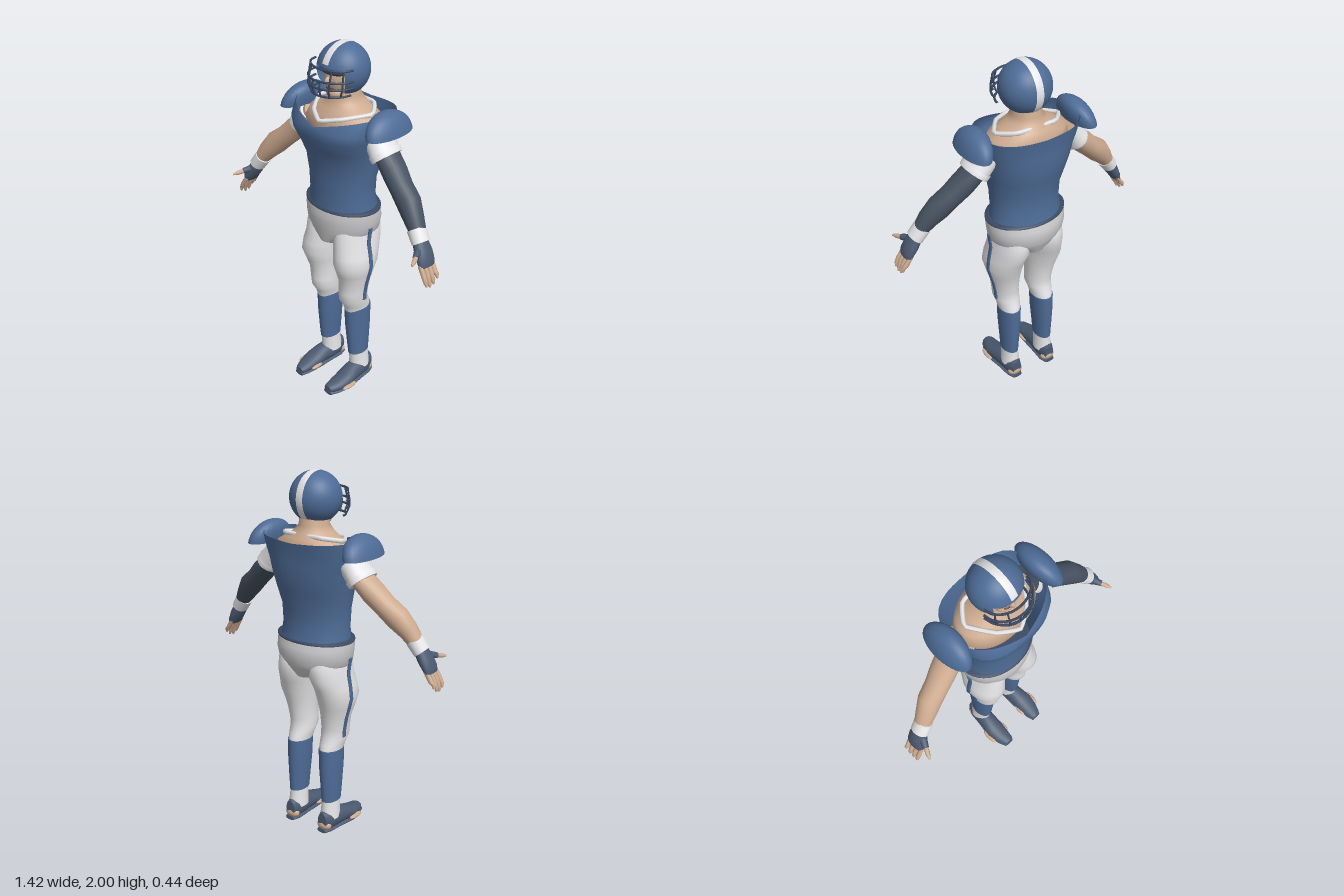
import * as THREE from 'three';

const mat = (name, color, double = false) => {
  const m = new THREE.MeshStandardMaterial({ color });
  m.name = name;
  if (double) m.side = THREE.DoubleSide;
  return m;
};
const V = (p) => new THREE.Vector3(p[0], p[1], p[2]);
const rad = THREE.MathUtils.degToRad;

// Skin elliptical rings [x, y, z, a, b]; b lies along hint, a across it
function loft(rings, { seg = 24, hint = [0, 0, 1], dir = null, caps = true } = {}) {
  const pos = [], idx = [];
  const frames = rings.map((r, i) => {
    const d = dir ? V(dir) : V(rings[Math.min(i + 1, rings.length - 1)]).sub(V(rings[Math.max(i - 1, 0)]));
    d.normalize();
    const v = V(hint).addScaledVector(d, -V(hint).dot(d)).normalize();
    return { c: V(r), u: v.clone().cross(d), v, a: r[3], b: r[4] };
  });
  const ring = ({ c, u, v, a, b }) => {
    const start = pos.length / 3;
    for (let j = 0; j < seg; j++) {
      const t = (j / seg) * Math.PI * 2;
      const p = c.clone().addScaledVector(u, a * Math.cos(t)).addScaledVector(v, b * Math.sin(t));
      pos.push(p.x, p.y, p.z);
    }
    return start;
  };
  const starts = frames.map(ring);
  for (let i = 0; i < starts.length - 1; i++) {
    for (let j = 0; j < seg; j++) {
      const k = (j + 1) % seg, s = starts[i], e = starts[i + 1];
      idx.push(s + j, s + k, e + k, s + j, e + k, e + j);
    }
  }
  if (caps) {
    [[frames[0], true], [frames[frames.length - 1], false]].forEach(([f, first]) => {
      const s = ring(f), m = pos.length / 3;
      pos.push(f.c.x, f.c.y, f.c.z);
      for (let j = 0; j < seg; j++) {
        const k = (j + 1) % seg;
        idx.push(m, s + (first ? k : j), s + (first ? j : k));
      }
    });
  }
  const g = new THREE.BufferGeometry();
  g.setAttribute('position', new THREE.Float32BufferAttribute(pos, 3));
  g.setIndex(idx);
  g.computeVertexNormals();
  return g;
}

export function createModel() {
  const root = new THREE.Group();
  root.name = 'footballPlayer';
  const blue = mat('team blue', 0x4e6c97, true);
  const slate = mat('glove and shoe slate', 0x4c5b72);
  const sleeve = mat('sleeve slate', 0x475261);
  const bar = mat('mask dark blue', 0x3a4962);
  const white = mat('white', 0xe8e8ea);
  const grey = mat('waist grey', 0xcbcbcd);
  const skin = mat('skin', 0xceab90);
  const dark = mat('dark features', 0x5a3c34);

  const add = (name, geo, m, parent = root) => {
    const mesh = new THREE.Mesh(geo, m);
    mesh.name = name;
    parent.add(mesh);
  };
  const ball = (x, y, z, a, b, c) => new THREE.SphereGeometry(1, 24, 16).scale(a, b, c).translate(x, y, z);
  const rod = (pts, r, closed = false) =>
    new THREE.TubeGeometry(new THREE.CatmullRomCurve3(pts.map(V), closed, 'catmullrom', closed ? 0.15 : 0.5), pts.length * 6, r, 6, closed);

  // Jersey: open at the top with a dipped neckline, squarer toward the shoulders
  const up = { dir: [0, 1, 0], seg: 40 };
  const jersey = loft([
    [0, 1.13, -0.02, 0.2, 0.158], [0, 1.2, -0.015, 0.192, 0.15], [0, 1.3, -0.015, 0.198, 0.152],
    [0, 1.4, -0.025, 0.218, 0.166], [0, 1.48, -0.018, 0.234, 0.188], [0, 1.55, -0.005, 0.25, 0.204],
    [0, 1.6, -0.008, 0.268, 0.204], [0, 1.67, -0.035, 0.272, 0.188],
  ], { ...up, caps: false });
  const jp = jersey.attributes.position;
  for (let i = 0; i < jp.count; i++) {
    const t = ((i % up.seg) / up.seg) * Math.PI * 2;
    const square = 1 + 0.09 * THREE.MathUtils.smoothstep(jp.getY(i), 1.3, 1.6) * Math.sin(2 * t) ** 2;
    jp.setX(i, jp.getX(i) * square);
    jp.setZ(i, jp.getZ(i) * square);
    if (jp.getY(i) > 1.66) {
      const dip = Math.max(0, 1 - Math.abs(jp.getX(i)) / 0.25);
      jp.setY(i, 1.676 - dip * (jp.getZ(i) > 0 ? 0.066 : 0.015));
      if (jp.getZ(i) > 0) jp.setZ(i, jp.getZ(i) + dip * 0.035);
    }
  }
  jersey.computeVertexNormals();
  add('jersey', jersey, blue);
  add('jerseyHem', loft([[0, 1.125, -0.02, 0.226, 0.166], [0, 1.135, -0.02, 0.226, 0.166], [0, 1.138, -0.02, 0.2, 0.156]], up), bar);

  // Pants waist with a squared lower front
  add('pantsWaist', loft([
    [0, 0.928, -0.012, 0.085, 0.143], [0, 0.955, -0.015, 0.135, 0.152], [0, 0.985, -0.02, 0.19, 0.16],
    [0, 1.01, -0.023, 0.212, 0.168], [0, 1.06, -0.025, 0.22, 0.176], [0, 1.095, -0.022, 0.223, 0.172],
    [0, 1.127, -0.02, 0.222, 0.163],
  ], up), grey);

  // Shoulders, neck and head
  add('shouldersAndNeck', loft([
    [0, 1.48, -0.02, 0.2, 0.13], [0, 1.58, -0.025, 0.235, 0.155], [0, 1.635, -0.035, 0.21, 0.145],
    [0, 1.67, -0.04, 0.145, 0.118], [0, 1.7, -0.037, 0.1, 0.1], [0, 1.73, -0.035, 0.076, 0.085],
    [0, 1.82, -0.03, 0.072, 0.08],
  ], up), skin);
  add('head', ball(0, 1.835, -0.015, 0.086, 0.118, 0.1), skin);
  add('chin', ball(0, 1.752, 0.035, 0.05, 0.035, 0.045), skin);
  add('nose', ball(0, 1.82, 0.085, 0.014, 0.025, 0.022), skin);
  add('mouth', ball(0, 1.778, 0.068, 0.03, 0.009, 0.014), dark);
  add('browPad', ball(0, 1.872, 0.045, 0.088, 0.025, 0.055), bar);
  add('collar', rod([
    [0, 1.63, 0.15], [0.1, 1.648, 0.09], [0.187, 1.665, -0.035], [0.11, 1.685, -0.125],
    [-0.11, 1.685, -0.125], [-0.187, 1.665, -0.035], [-0.1, 1.648, 0.09],
  ], 0.012, true), white);

  // Helmet: full crown, lower shell open at the face, centre stripe
  const helmet = new THREE.Group();
  helmet.name = 'helmet';
  helmet.position.set(0, 1.864, -0.022);
  root.add(helmet);
  const R = 0.135;
  add('helmetCrown', new THREE.SphereGeometry(R, 40, 14, 0, Math.PI * 2, 0, rad(77)), blue, helmet);
  add('helmetShell', new THREE.SphereGeometry(R, 32, 14, rad(138), rad(264), rad(77), rad(64)), blue, helmet);
  add('helmetStripe', new THREE.SphereGeometry(R * 1.012, 32, 4, rad(-138), rad(208), rad(81.5), rad(17)).rotateZ(-Math.PI / 2), white, helmet);

  // Face mask
  const mask = new THREE.Group();
  mask.name = 'faceMask';
  root.add(mask);
  const arcPoint = (t, y, w, d) => [w * Math.sin(t), y, 0.04 + d * Math.cos(t)];
  const rows = [[1.9, 0.132, 0.105], [1.845, 0.136, 0.125], [1.81, 0.134, 0.13], [1.768, 0.115, 0.118]];
  for (const [y, w, d] of rows) {
    const pts = [];
    for (let i = -4; i <= 4; i++) pts.push(arcPoint(i * rad(22), y, w, d));
    add('maskBar', rod(pts, 0.006), bar, mask);
  }
  for (const t of [-60, -32, -10, 10, 32, 60]) {
    const list = Math.abs(t) === 10 ? rows.slice(1) : rows;
    add('maskUpright', rod(list.map(([y, w, d]) => arcPoint(rad(t), y, w, d)), 0.005), bar, mask);
  }

  for (const s of [1, -1]) {
    const side = s > 0 ? 'left' : 'right';
    const part = (name, rings, m, opt) => add(side + name, loft(rings.map(([x, ...r]) => [x * s, ...r]), opt), m);

    // Shoulder pad: full half dome leaning toward the neck
    const pad = new THREE.SphereGeometry(1, 28, 10, 0, Math.PI * 2, 0, Math.PI / 2).scale(0.068, 0.112, 0.152);
    const pp = pad.attributes.position;
    for (let i = 0; i < pp.count; i++) {
      const h = pp.getY(i) / 0.112;
      pp.setX(i, pp.getX(i) * (1 + 0.25 * h * h) - s * 0.027 * h);
    }
    pad.computeVertexNormals();
    add(side + 'ShoulderPad', pad.translate(s * 0.307, 1.603, -0.03), blue);

    // Arm: one side bare, the other in a dark sleeve
    part('Arm', [
      [0.21, 1.57, -0.035, 0.065, 0.08], [0.31, 1.475, -0.025, 0.054, 0.072], [0.36, 1.425, -0.015, 0.061, 0.07],
      [0.42, 1.367, 0, 0.058, 0.064], [0.487, 1.31, 0.015, 0.064, 0.062], [0.54, 1.25, 0.035, 0.052, 0.053],
      [0.592, 1.18, 0.05, 0.036, 0.042],
    ], s > 0 ? sleeve : skin);
    part('SleeveCuff', [
      [0.23, 1.565, -0.03, 0.066, 0.085], [0.28, 1.503, -0.025, 0.066, 0.088], [0.284, 1.498, -0.025, 0.073, 0.094],
      [0.302, 1.476, -0.025, 0.071, 0.092],
    ], white);
    part('WristBand', [[0.567, 1.208, 0.046, 0.045, 0.05], [0.61, 1.15, 0.055, 0.043, 0.05]], white);
    part('Glove', [
      [0.598, 1.165, 0.053, 0.032, 0.042], [0.632, 1.11, 0.06, 0.034, 0.054],
      [0.655, 1.07, 0.065, 0.028, 0.054], [0.664, 1.045, 0.066, 0.02, 0.05],
    ], slate);
    for (let f = 0; f < 4; f++) {
      const z = 0.107 - f * 0.027, drop = [0.012, 0, 0.006, 0.028][f];
      part('Finger', [
        [0.655, 1.06, z, 0.013, 0.013], [0.686, 1.01, z + 0.004, 0.013, 0.013],
        [0.7, 0.97 + drop, z + 0.005, 0.011, 0.011], [0.704, 0.95 + drop, z + 0.004, 0.005, 0.005],
      ], skin, { seg: 8 });
    }
    const thumb = { seg: 8, hint: [0, 1, 0] };
    part('ThumbGlove', [[0.62, 1.13, 0.08, 0.022, 0.022], [0.648, 1.115, 0.135, 0.016, 0.016]], slate, thumb);
    part('Thumb', [[0.64, 1.118, 0.12, 0.013, 0.013], [0.662, 1.108, 0.165, 0.012, 0.012], [0.672, 1.103, 0.188, 0.005, 0.005]], skin, thumb);

    // Leg, side stripe and socks
    const down = { dir: [0, -1, 0] };
    part('PantLeg', [
      [0.1, 1.06, -0.025, 0.08, 0.13], [0.1, 1.0, -0.025, 0.097, 0.15], [0.105, 0.93, -0.02, 0.1, 0.15],
      [0.117, 0.87, -0.002, 0.102, 0.142], [0.123, 0.81, 0.01, 0.104, 0.134], [0.12, 0.75, 0.01, 0.092, 0.112],
      [0.115, 0.69, 0.007, 0.08, 0.093], [0.11, 0.62, 0.012, 0.073, 0.088], [0.108, 0.57, 0.01, 0.072, 0.086],
      [0.108, 0.53, -0.012, 0.063, 0.083], [0.109, 0.49, -0.022, 0.056, 0.082],
    ], white, down);
    part('PantStripe', [
      [0.216, 1.04, -0.006, 0.007, 0.014], [0.205, 0.95, -0.006, 0.006, 0.014], [0.22, 0.87, -0.006, 0.006, 0.014],
      [0.227, 0.81, -0.006, 0.006, 0.014], [0.212, 0.75, -0.006, 0.006, 0.014], [0.195, 0.69, -0.006, 0.006, 0.014],
      [0.183, 0.62, -0.006, 0.006, 0.014], [0.18, 0.575, -0.006, 0.006, 0.014],
    ], blue, { dir: [0, -1, 0], seg: 8 });
    part('Sock', [
      [0.109, 0.5, -0.025, 0.06, 0.084], [0.11, 0.4, -0.026, 0.058, 0.084],
      [0.112, 0.28, -0.028, 0.05, 0.076], [0.113, 0.185, -0.03, 0.045, 0.068],
    ], blue, down);
    part('AnkleSock', [[0.113, 0.195, -0.03, 0.043, 0.064], [0.113, 0.14, -0.035, 0.046, 0.062], [0.114, 0.08, -0.04, 0.052, 0.066]], white, down);

    // Shoe and sole, with bare toe edges and heel
    const along = { dir: [0, 0, 1], hint: [0, 1, 0] };
    part('Shoe', [
      [0.114, 0.075, -0.116, 0.028, 0.048], [0.115, 0.07, -0.08, 0.046, 0.06], [0.118, 0.066, -0.02, 0.05, 0.058],
      [0.123, 0.063, 0.04, 0.052, 0.052], [0.128, 0.05, 0.1, 0.056, 0.04], [0.126, 0.04, 0.16, 0.048, 0.03],
      [0.12, 0.036, 0.205, 0.036, 0.024], [0.119, 0.034, 0.22, 0.026, 0.018],
    ], slate, along);
    part('Sole', [
      [0.114, 0.015, -0.12, 0.03, 0.012], [0.115, 0.015, -0.08, 0.045, 0.013], [0.12, 0.015, 0, 0.048, 0.013],
      [0.128, 0.015, 0.1, 0.057, 0.013], [0.124, 0.015, 0.18, 0.045, 0.013], [0.12, 0.015, 0.222, 0.03, 0.013],
    ], slate, along);
    add(side + 'OuterToe', ball(s * 0.183, 0.034, 0.11, 0.016, 0.012, 0.05), skin);
    add(side + 'InnerToe', ball(s * 0.075, 0.034, 0.12, 0.014, 0.012, 0.04), skin);
    add(side + 'Heel', ball(s * 0.114, 0.045, -0.093, 0.045, 0.03, 0.028), skin);
  }
  return root;
}
